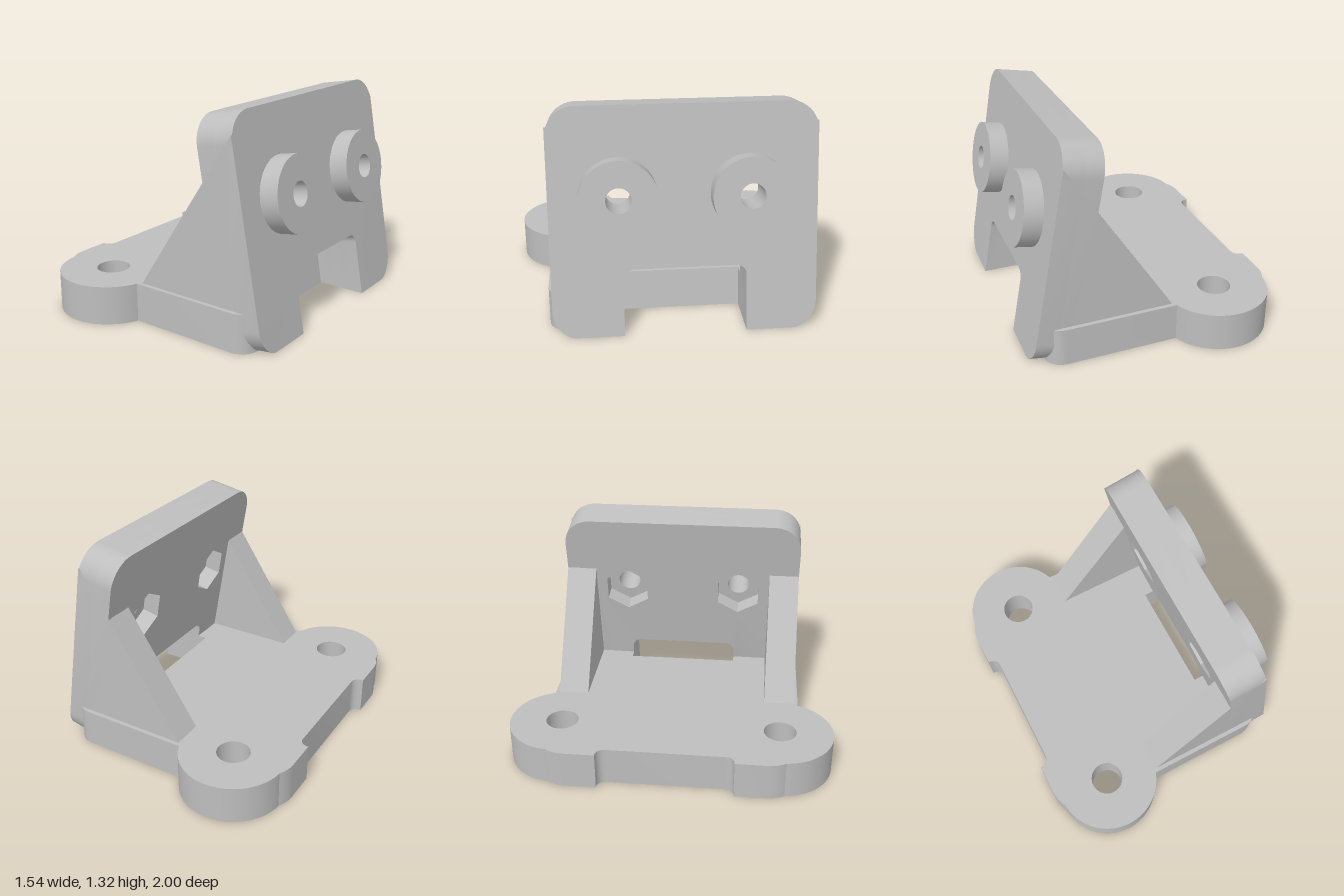
import * as THREE from 'three';
import { toCreasedNormals } from 'three/addons/utils/BufferGeometryUtils.js';

const TILT = THREE.MathUtils.degToRad(10);
const BASE_H = 0.235, PLATE_T = 0.235, POCKET = 0.11;
const BOLT_Z = 0.372, BOLT_V = 0.828;

// points along an arc, angles in degrees
function arc(cx, cy, r, a0, a1, n = 12) {
  return Array.from({ length: n + 1 }, (_, i) => {
    const a = THREE.MathUtils.degToRad(a0 + (a1 - a0) * i / n);
    return new THREE.Vector2(cx + r * Math.cos(a), cy + r * Math.sin(a));
  });
}
const pt = (x, y) => new THREE.Vector2(x, y);
const hole = (x, y, r, n = 40) => new THREE.Path(arc(x, y, r, 90, -270, n).slice(0, -1));

function extrude(points, holes, depth) {
  const shape = new THREE.Shape(points);
  shape.holes.push(...holes);
  return new THREE.ExtrudeGeometry(shape, { depth, bevelEnabled: false });
}

// stand a plate-space extrusion up on the leaning front plane, cut flat at the floor
function lean(geo, offset) {
  geo.translate(0, 0, offset).rotateY(Math.PI / 2).rotateZ(TILT).translate(0.76, 0, 0);
  const p = geo.attributes.position;
  for (let i = 0; i < p.count; i++) p.setY(i, Math.max(0, p.getY(i)));
  return geo;
}

export function createModel() {
  const group = new THREE.Group();
  const grey = new THREE.MeshStandardMaterial({ color: 0xbebebe });
  grey.name = 'grey';
  const add = (name, geo) => {
    const mesh = new THREE.Mesh(toCreasedNormals(geo, 0.45), grey);
    mesh.name = name;
    group.add(mesh);
  };

  // base with two screw ears, a shallow rear notch and a slot at the plate
  const half = [
    pt(0.46, 0.355), pt(0.67, 0.355),
    ...arc(0.56, 0.68, 0.11, 0, 90),
    ...arc(-0.42, 0.68, 0.32, 20.1, 172, 32),
    ...arc(-0.57, 0.6, 0.2, 147, 180, 6),
    pt(-0.77, 0.41),
    ...arc(-0.76, 0.36, 0.05, 90, 0, 8),
  ];
  const outline = [...half, ...half.map(p => pt(p.x, -p.y)).reverse()];
  const base = extrude(outline, [hole(-0.42, 0.675, 0.1), hole(-0.42, -0.675, 0.1)], BASE_H);
  base.rotateX(-Math.PI / 2);
  // lean the back wall of the slot parallel to the plate
  const bp = base.attributes.position;
  for (let i = 0; i < bp.count; i++) {
    if (Math.abs(bp.getX(i) - 0.46) < 1e-3 && Math.abs(bp.getZ(i)) < 0.36) {
      bp.setX(i, 0.46 - bp.getY(i) * Math.tan(TILT));
    }
  }
  add('base', base);

  // leaning plate: rounded corners, slot at the bottom, round holes, hex pockets behind
  const r = 0.17, w = 0.765, top = 1.34, bottom = -0.009;
  const plateHalf = [
    pt(0.355, bottom),
    ...arc(w - r, bottom + r, r, -90, 0),
    ...arc(w - r, top - r, r, 0, 90),
  ];
  const slotHalf = arc(0.295, 0.338, 0.06, 90, 0, 8);
  const mirror = list => list.map(p => pt(-p.x, p.y)).reverse();
  const plateOutline = [...plateHalf, ...mirror(plateHalf), ...mirror(slotHalf), ...slotHalf];
  const bolts = (radius, n) => [-1, 1].map(s => hole(s * BOLT_Z, BOLT_V, radius, n));
  add('plateFront', lean(extrude(plateOutline, bolts(0.072), PLATE_T - POCKET), POCKET - PLATE_T));
  add('plateBack', lean(extrude(plateOutline, bolts(0.155, 6), POCKET), -PLATE_T));

  for (const s of [-1, 1]) {
    const side = s > 0 ? 'Near' : 'Far';
    // round boss around each bolt hole
    const ring = arc(s * BOLT_Z, BOLT_V, 0.223, 0, 360, 56).slice(0, -1);
    add('boss' + side, lean(extrude(ring, [hole(s * BOLT_Z, BOLT_V, 0.072)], 0.115), 0));

    // triangular side gusset
    const gusset = extrude([pt(-0.1, BASE_H - 0.002), pt(0.717, BASE_H - 0.002), pt(0.546, 1.208)], [], 0.19);
    gusset.translate(0, 0, s > 0 ? 0.575 : -0.765);
    add('gusset' + side, gusset);
  }
  return group;
}
